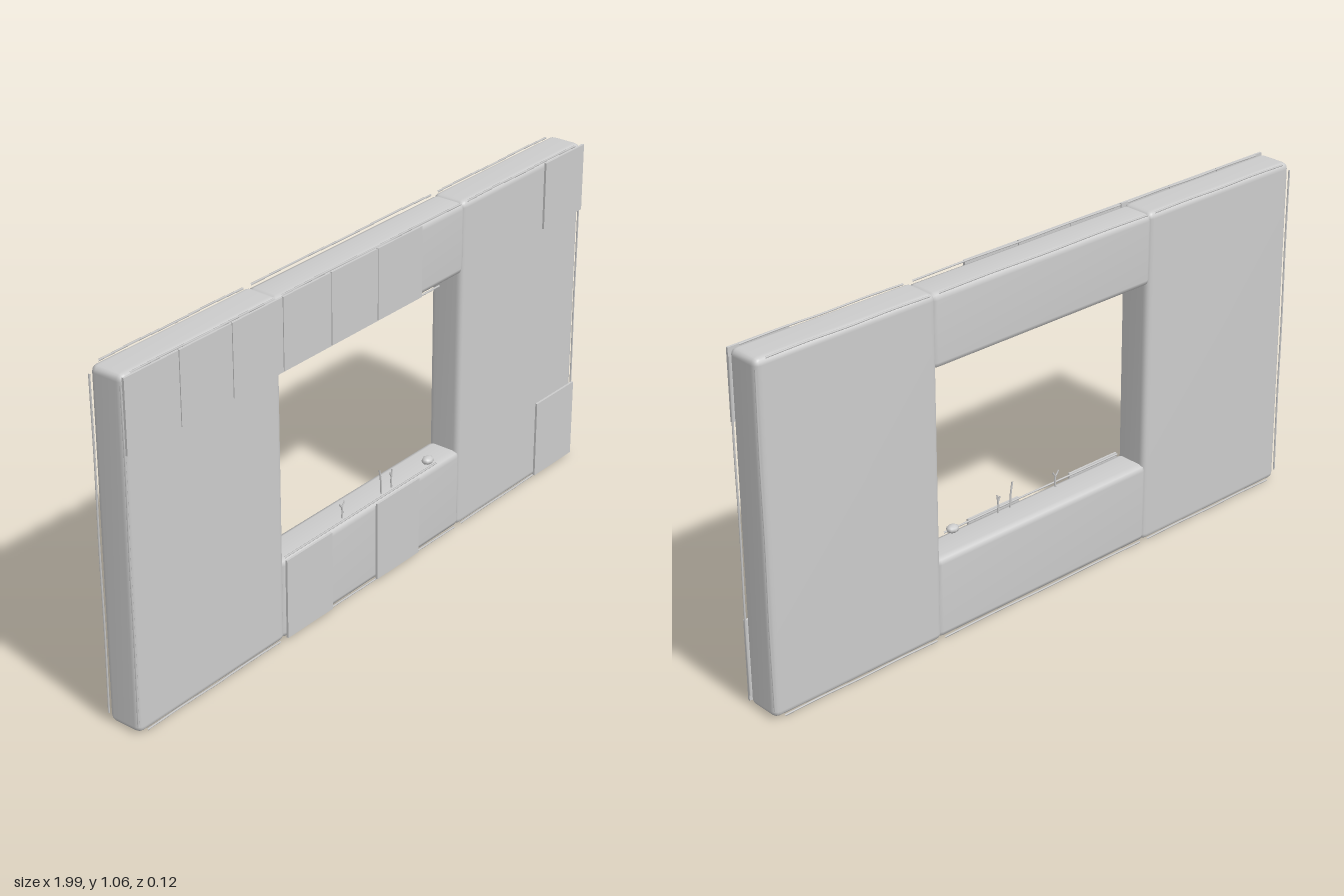
import * as THREE from 'three';
import { mergeVertices } from 'three/addons/utils/BufferGeometryUtils.js';
import { RoundedBoxGeometry } from 'three/addons/geometries/RoundedBoxGeometry.js';

const material = new THREE.MeshStandardMaterial({ color: 0xcccccc });

function add(parent, name, geometry, x = 0, y = 0, z = 0) {
  const mesh = new THREE.Mesh(geometry, material);
  mesh.name = name;
  mesh.position.set(x, y, z);
  parent.add(mesh);
  return mesh;
}

// Bevelled block whose normals blend softly over the edges
function softBlock(w, h, d, bevel, segments = 1) {
  const g = new RoundedBoxGeometry(w, h, d, segments, bevel);
  g.deleteAttribute('normal');
  g.deleteAttribute('uv');
  const merged = mergeVertices(g, 1e-4);
  merged.computeVertexNormals();
  return merged;
}

// Thin rod through a few points
function rod(parent, name, points, radius, sides = 5) {
  const path = new THREE.CatmullRomCurve3(points.map(p => new THREE.Vector3(...p)));
  return add(parent, name, new THREE.TubeGeometry(path, points.length * 3, radius, sides));
}

export function createModel() {
  const model = new THREE.Group();
  model.name = 'windowWall';

  // Two wide pillars
  for (const s of [-1, 1]) {
    add(model, s < 0 ? 'rightPillar' : 'leftPillar',
      softBlock(0.594, 1.06, 0.112, 0.02, 2), s * 0.695, 0.533, -0.002);
  }

  // Beams above and below the opening, running into the pillars
  add(model, 'lintel', softBlock(0.83, 0.22, 0.11, 0.02), 0, 0.95, -0.002);
  add(model, 'sill', softBlock(0.83, 0.256, 0.11, 0.02), 0, 0.132, -0.002);

  // Thin square facing plates on the front
  const plates = new THREE.Group();
  plates.name = 'facingPlates';
  model.add(plates);
  const plate = (x, y0, y1) =>
    add(plates, 'facingPlate', new THREE.BoxGeometry(0.196, y1 - y0, 0.007), x, (y0 + y1) / 2, 0.059);
  for (let i = 0; i < 6; i++) plate(-0.895 + i * 0.199, 0.845, 1.062);
  plate(0.893, 0.85, 1.06);
  for (const x of [-0.3, 0.1, 0.893]) plate(x, 0.01, 0.262);

  // Worn trim along the long edges
  const trim = new THREE.Group();
  trim.name = 'edgeTrim';
  model.add(trim);
  for (const z of [-0.056, 0.051]) {
    for (const [x0, x1] of [[-0.96, -0.42], [-0.39, 0.39], [0.42, 0.96]]) {
      for (const y of [0.005, 1.062]) {
        const pts = [0, 1, 2, 3, 4].map(i => [x0 + (x1 - x0) * i / 4, y + (i % 2 ? 0.001 : -0.001), z]);
        rod(trim, 'horizontalTrim', pts, 0.003);
      }
    }
    for (const x of [-0.992, 0.992]) {
      const pts = [0, 1, 2, 3, 4].map(i => [x + (i % 2 ? 0.001 : -0.001), 0.03 + i * 0.252, z]);
      rod(trim, 'verticalTrim', pts, 0.003);
    }
  }
  for (const y of [0.263, 0.838]) {
    rod(trim, 'openingTrim', [[-0.39, y, 0.046], [0, y + 0.001, 0.047], [0.3, y, 0.046]], 0.003);
  }

  // Small twigs and a pebble on the ledge
  const debris = new THREE.Group();
  debris.name = 'ledgeDebris';
  model.add(debris);
  const z = 0.03;
  rod(debris, 'twig', [[-0.12, 0.255, z], [-0.118, 0.28, z], [-0.12, 0.3, z]], 0.003);
  for (const s of [-1, 1]) {
    rod(debris, 'twigFork', [[-0.12, 0.295, z], [-0.12 + s * 0.006, 0.302, z], [-0.12 + s * 0.012, 0.312, z]], 0.0025);
  }
  rod(debris, 'twig', [[0.06, 0.255, z], [0.058, 0.3, z], [0.051, 0.342, z]], 0.003);
  rod(debris, 'twig', [[0.108, 0.255, z], [0.106, 0.285, z], [0.11, 0.32, z]], 0.003);
  rod(debris, 'twigFork', [[0.107, 0.295, z], [0.102, 0.305, z], [0.1, 0.313, z]], 0.0025);
  const pebble = add(debris, 'pebble', new THREE.SphereGeometry(0.021, 8, 6), 0.28, 0.276, z);
  pebble.scale.set(1, 0.6, 0.8);

  return model;
}
